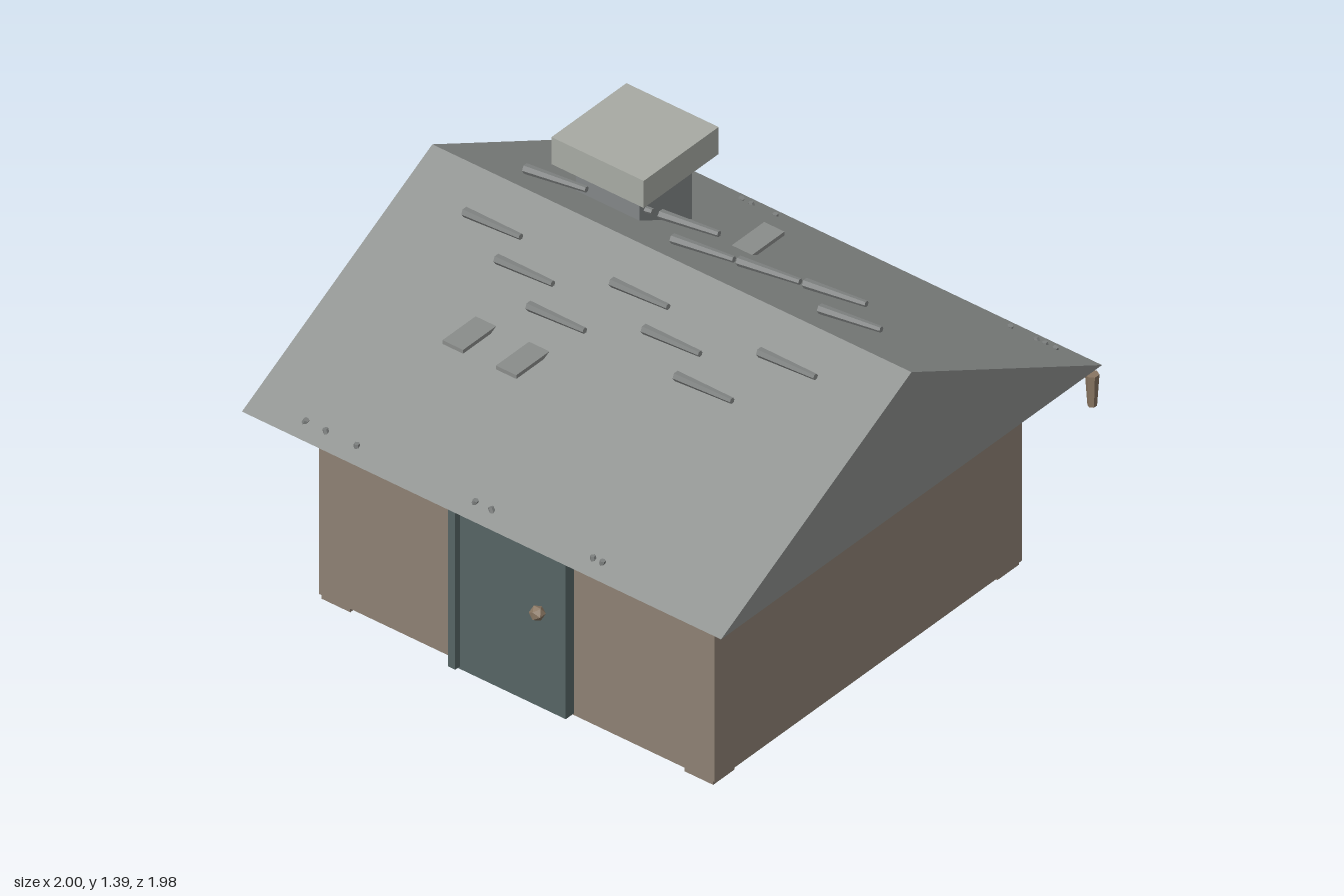
import * as THREE from 'three';

const flat = (name, color) => {
  const m = new THREE.MeshStandardMaterial({ color, flatShading: true });
  m.name = name;
  return m;
};

export function createModel() {
  const model = new THREE.Group();
  model.name = 'hut';

  const wallBrown = flat('wall brown', 0x8e8174);
  const roofGray = flat('roof gray', 0x8a8d8b);
  const doorTeal = flat('door teal', 0x566565);
  const capStone = flat('cap stone', 0xa8aba4);
  const stackGray = flat('stack gray', 0x838788);
  const pegBrown = flat('peg brown', 0x8a7763);
  const battenGray = flat('batten gray', 0x7e8180);

  const add = (name, geometry, material) => {
    const mesh = new THREE.Mesh(geometry, material);
    mesh.name = name;
    model.add(mesh);
    return mesh;
  };
  // Box given by its extents on each axis
  const box = (name, material, [x0, x1], [y0, y1], [z0, z1]) =>
    add(name, new THREE.BoxGeometry(x1 - x0, y1 - y0, z1 - z0), material)
      .position.set((x0 + x1) / 2, (y0 + y1) / 2, (z0 + z1) / 2);
  // Tapered rod running from a to b
  const rod = (name, material, a, b, r0, r1, sides = 6) => {
    const dir = b.clone().sub(a);
    const mesh = add(name, new THREE.CylinderGeometry(r1, r0, dir.length(), sides), material);
    mesh.position.copy(a).add(b).multiplyScalar(0.5);
    mesh.quaternion.setFromUnitVectors(new THREE.Vector3(0, 1, 0), dir.normalize());
  };
  const v = (x, y, z) => new THREE.Vector3(x, y, z);

  // Walls and feet
  box('walls', wallBrown, [-0.828, 0.824], [0.018, 0.772], [-0.775, 0.804]);
  for (const x of [[-0.82, -0.70], [0.695, 0.815]])
    for (const z of [[-0.77, -0.66], [0.69, 0.80]])
      box('foot', wallBrown, x, [0, 0.02], z);

  // Gabled roof, a solid prism along x
  const gable = new THREE.Shape();
  gable.moveTo(-0.987, 0.77);
  gable.lineTo(0.97, 0.77);
  gable.lineTo(-0.009, 1.29);
  gable.closePath();
  const roof = new THREE.ExtrudeGeometry(gable, { depth: 2, bevelEnabled: false });
  roof.translate(0, 0, -1).rotateY(Math.PI / 2);
  add('roof', roof, roofGray);

  // Door with hinge strip and knob
  box('door', doorTeal, [-0.24, 0.237], [0.025, 0.772], [0.80, 0.846]);
  box('hingeStrip', doorTeal, [-0.235, -0.205], [0.035, 0.747], [0.84, 0.87]);
  add('doorKnob', new THREE.IcosahedronGeometry(0.028, 0), pegBrown).position.set(0.14, 0.42, 0.873);

  // Chimney
  box('chimneyStack', stackGray, [-0.58, -0.315], [0.90, 1.285], [-0.483, -0.213]);
  box('chimneyCap', capStone, [-0.64, -0.255], [1.28, 1.388], [-0.545, -0.16]);

  // Tapered battens in three staggered rows on both slopes
  for (const side of [1, -1]) {
    for (let i = 0; i < 7; i++) {
      const row = i % 3;
      const x = -0.737 + i * 0.205;
      const y = 1.227 - row * 0.045;
      const z = 0.01 + side * (0.155 + row * 0.088);
      rod('batten', battenGray, v(x, y, z), v(x + 0.245, y + 0.02, z + side * 0.014), 0.018, 0.011);
    }
  }

  // Flat slates projecting from the slopes
  box('slate', roofGray, [-0.483, -0.397], [1.055, 1.07], [0.38, 0.593]);
  box('slate', roofGray, [-0.26, -0.175], [1.055, 1.07], [0.38, 0.593]);
  box('slate', roofGray, [-0.087, -0.002], [1.055, 1.07], [-0.572, -0.36]);

  // Small nails through the eaves
  const eaves = [
    [0.932, [-0.775, -0.697, -0.565, -0.068, -0.006, 0.42, 0.462]],
    [-0.91, [-0.455, -0.417, -0.315, 0.667, 0.772, 0.81, 0.855]],
  ];
  for (const [z, xs] of eaves)
    xs.forEach((x, i) => {
      const lean = ((i * 5) % 7 - 3) * 0.009;
      rod('nail', battenGray, v(x + lean, 0.752, z), v(x, 0.81, z), 0.013, 0.01);
    });

  // Tapered pegs hanging at the back corners
  for (const x of [-0.967, 0.962])
    rod('hangingPeg', pegBrown, v(x, 0.595, -0.966), v(x, 0.72, -0.966), 0.016, 0.024);

  return model;
}
